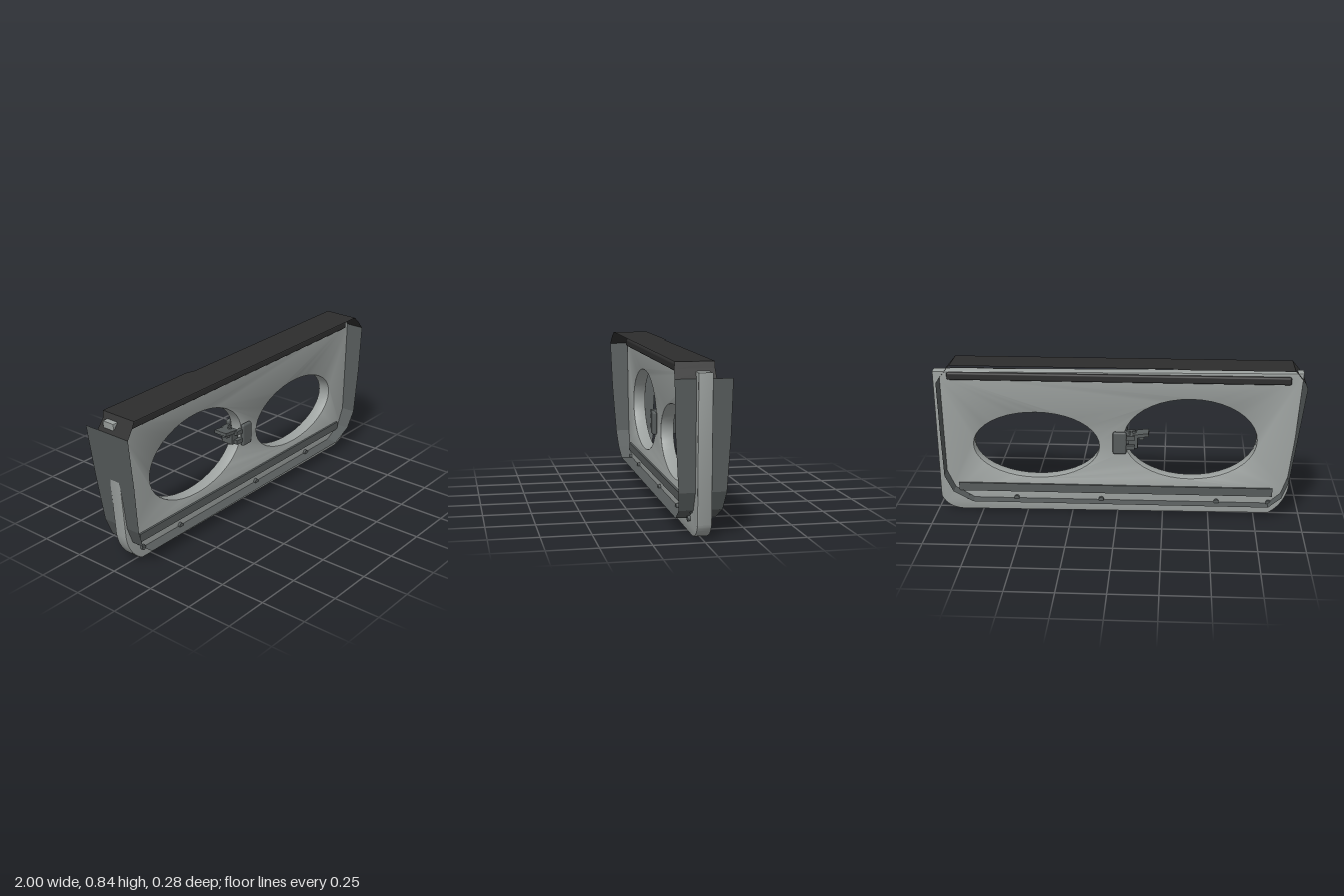
import * as THREE from 'three';
import { toCreasedNormals } from 'three/addons/utils/BufferGeometryUtils.js';
import { RoundedBoxGeometry } from 'three/addons/geometries/RoundedBoxGeometry.js';

const mat = (name, color, side = THREE.FrontSide) => {
  const m = new THREE.MeshStandardMaterial({ color, side });
  m.name = name;
  return m;
};

// Thin folded sheet through stations [x, y, zFront, zBack]
function sheet(stations) {
  const pos = [];
  for (let i = 0; i < stations.length - 1; i++) {
    const [x0, y0, f0, b0] = stations[i];
    const [x1, y1, f1, b1] = stations[i + 1];
    pos.push(x0, y0, f0, x1, y1, f1, x1, y1, b1);
    pos.push(x0, y0, f0, x1, y1, b1, x0, y0, b0);
  }
  const g = new THREE.BufferGeometry();
  g.setAttribute('position', new THREE.Float32BufferAttribute(pos, 3));
  g.computeVertexNormals();
  return g;
}

export function createModel() {
  const root = new THREE.Group();
  root.name = 'framedPanel';

  const panelGrey = mat('panelGrey', 0x9da2a0);
  const midGrey = mat('hardwareGrey', 0x565b5b);
  const sheetGrey = mat('flangeGrey', 0x565b5b, THREE.DoubleSide);
  const black = mat('capBlack', 0x2d2d2d, THREE.DoubleSide);

  const add = (name, geometry, material, x = 0, y = 0, z = 0, parent = root) => {
    const m = new THREE.Mesh(geometry, material);
    m.name = name;
    m.position.set(x, y, z);
    parent.add(m);
    return m;
  };

  // Main panel with rounded lower corners and two oval openings
  const outline = new THREE.Shape();
  outline.moveTo(-0.99, 0.822);
  outline.lineTo(-0.94, 0.18);
  outline.bezierCurveTo(-0.93, 0.1, -0.88, 0.04, -0.83, 0.014);
  outline.lineTo(0.86, 0.002);
  outline.bezierCurveTo(0.92, 0.005, 0.965, 0.03, 0.985, 0.08);
  outline.lineTo(1.0, 0.802);
  outline.lineTo(-0.99, 0.822);
  for (const [x, y, rx, ry] of [[-0.395, 0.438, 0.36, 0.228], [0.445, 0.39, 0.345, 0.188]]) {
    const hole = new THREE.Path();
    hole.absellipse(x, y, rx, ry, 0, Math.PI * 2, true);
    outline.holes.push(hole);
  }
  const panel = new THREE.ExtrudeGeometry(outline, {
    depth: 0.058, curveSegments: 20, bevelEnabled: true,
    bevelThickness: 0.007, bevelSize: 0.007, bevelOffset: -0.007, bevelSegments: 2,
  });
  panel.translate(0, 0, -0.029);
  add('panel', toCreasedNormals(panel, 0.5), panelGrey);

  // Flange: both sides and the lower ledge, tapering towards the bottom
  const side = [[0.77, 0.14], [0.5, 0.133], [0.23, 0.117], [0.135, 0.108], [0.075, 0.1]];
  const leftX = [-1.0, -0.965, -0.93, -0.895, -0.825];
  const rightX = [0.96, 0.953, 0.945, 0.9, 0.795];
  const stations = (xs) => side.map(([y, z], i) => [xs[i], y, z, -z]);
  add('sideAndLowerFlange', sheet([...stations(leftX), ...stations(rightX).reverse()]), sheetGrey);

  // Top cap with sloped ends and a stepped rear edge
  add('topCap', sheet([
    [0.96, 0.77, 0.14, -0.06],
    [0.925, 0.814, 0.136, -0.06],
    [0.9, 0.845, 0.127, -0.065],
    [-0.29, 0.845, 0.127, -0.065],
    [-0.34, 0.845, 0.127, -0.08],
    [-0.94, 0.845, 0.127, -0.08],
    [-0.96, 0.82, 0.134, -0.06],
    [-1.0, 0.77, 0.14, -0.06],
  ]), black);

  // Rails and bolts run through to both faces
  add('upperRail', new RoundedBoxGeometry(1.845, 0.042, 0.11, 2, 0.01), black, -0.0025, 0.781, 0);
  add('lowerRail', new THREE.BoxGeometry(1.73, 0.046, 0.094), midGrey, 0.015, 0.14, 0);
  const bolt = new THREE.CylinderGeometry(0.014, 0.014, 0.1, 14).rotateX(Math.PI / 2);
  for (const x of [-0.83, -0.545, 0.09, 0.56, 0.83]) add('bolt', bolt, midGrey, x, 0.08, 0);

  // Latch clamped on the edge of the larger opening
  const latch = new THREE.Group();
  latch.name = 'latch';
  root.add(latch);
  for (const s of [1, -1]) {
    add('latchPlate', new RoundedBoxGeometry(0.074, 0.126, 0.024, 2, 0.01), midGrey, -0.012, 0.418, s * 0.052, latch);
    add('latchLug', new THREE.BoxGeometry(0.05, 0.024, 0.022), midGrey, -0.068, 0.445, s * 0.045, latch);
    add('latchLug', new THREE.BoxGeometry(0.05, 0.024, 0.022), midGrey, -0.068, 0.392, s * 0.045, latch);
  }
  add('latchBody', new THREE.BoxGeometry(0.05, 0.07, 0.07), midGrey, -0.085, 0.415, 0, latch);
  add('latchPin', new THREE.CylinderGeometry(0.012, 0.012, 0.1, 12), midGrey, -0.09, 0.42, 0, latch);
  const lever = add('latchLever', new THREE.BoxGeometry(0.1, 0.018, 0.08), midGrey, -0.12, 0.455, 0, latch);
  lever.rotation.z = -0.12;
  add('leverTab', new THREE.BoxGeometry(0.025, 0.02, 0.05), midGrey, -0.13, 0.437, 0, latch);

  return root;
}
